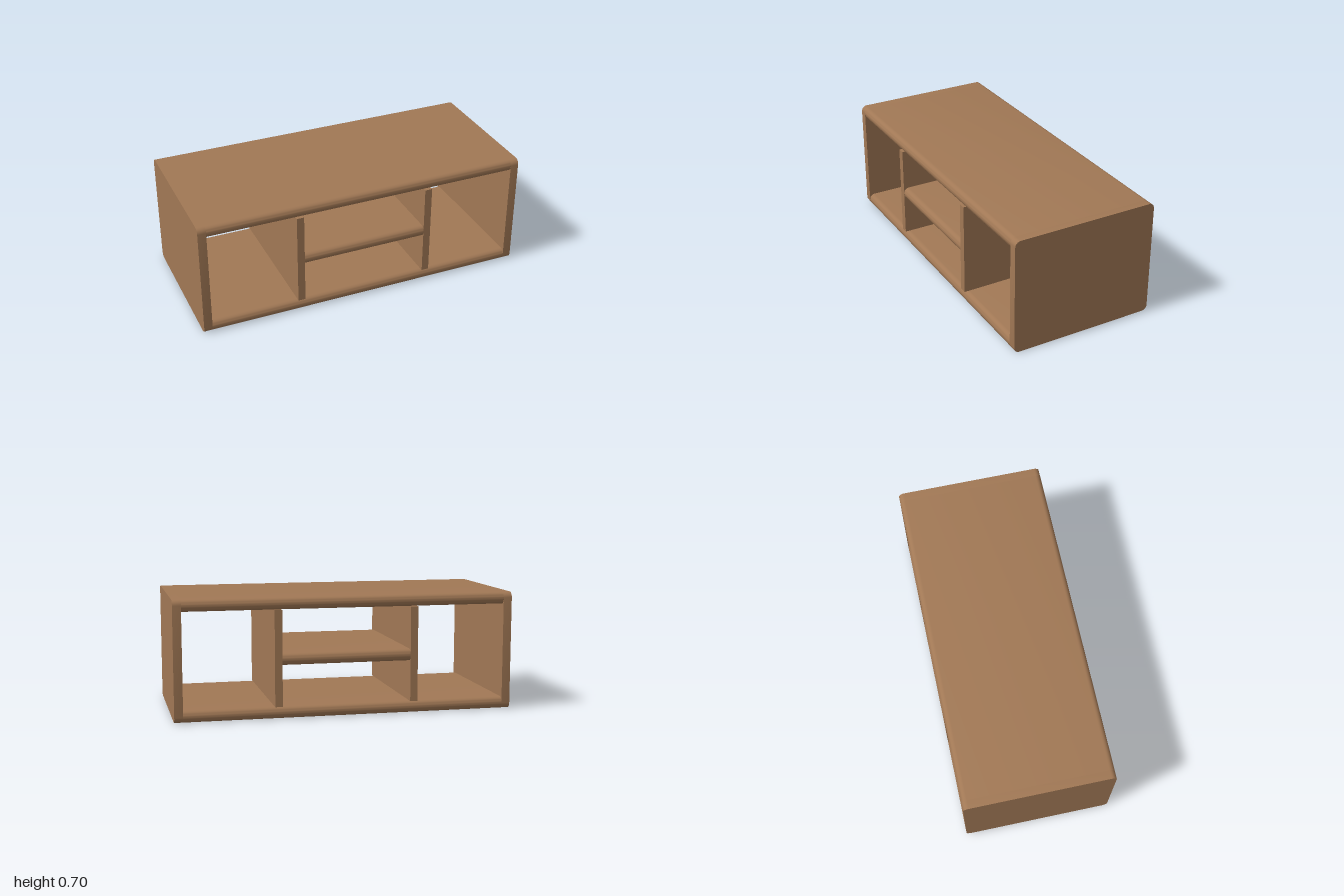
import * as THREE from 'three';
import { toCreasedNormals } from 'three/addons/utils/BufferGeometryUtils.js';

const DEPTH = 0.88, HEIGHT = 0.7, BOARD = 0.07, RADIUS = 0.033;

// Rounded rectangle in the z-y plane, extruded along x and centred
function roundedSlab(length, height, depth) {
  const shape = new THREE.Shape();
  const w = depth / 2 - RADIUS, h = height / 2 - RADIUS;
  shape.absarc(w, h, RADIUS, 0, Math.PI / 2);
  shape.absarc(-w, h, RADIUS, Math.PI / 2, Math.PI);
  shape.absarc(-w, -h, RADIUS, Math.PI, Math.PI * 1.5);
  shape.absarc(w, -h, RADIUS, Math.PI * 1.5, Math.PI * 2);
  const geometry = new THREE.ExtrudeGeometry(shape, { depth: length, bevelEnabled: false, curveSegments: 3 });
  geometry.translate(0, 0, -length / 2).rotateY(Math.PI / 2);
  return toCreasedNormals(geometry, 0.8);
}

export function createModel() {
  const group = new THREE.Group();
  group.name = 'openShelfUnit';
  const wood = new THREE.MeshStandardMaterial({ color: 0xa17855 });
  wood.name = 'brown wood';

  const add = (name, geometry, x, y) => {
    const mesh = new THREE.Mesh(geometry, wood);
    mesh.name = name;
    mesh.position.set(x, y, 0);
    group.add(mesh);
  };

  // Top and bottom boards with rounded long edges
  add('bottomBoard', roundedSlab(1.9, BOARD, DEPTH), 0, BOARD / 2);
  add('topBoard', roundedSlab(1.9, BOARD, DEPTH), 0, HEIGHT - BOARD / 2);

  // Middle shelf between the dividers
  add('middleShelf', roundedSlab(0.765, BOARD, DEPTH), 0, 0.344);

  // End panels and upright dividers, mirrored
  for (const [side, s] of [['left', 1], ['right', -1]]) {
    add(side + 'EndPanel', roundedSlab(0.05, HEIGHT, DEPTH), s * 0.975, HEIGHT / 2);
    add(side + 'Divider', new THREE.BoxGeometry(0.044, HEIGHT - 2 * BOARD, DEPTH), s * 0.402, HEIGHT / 2);
  }
  return group;
}
